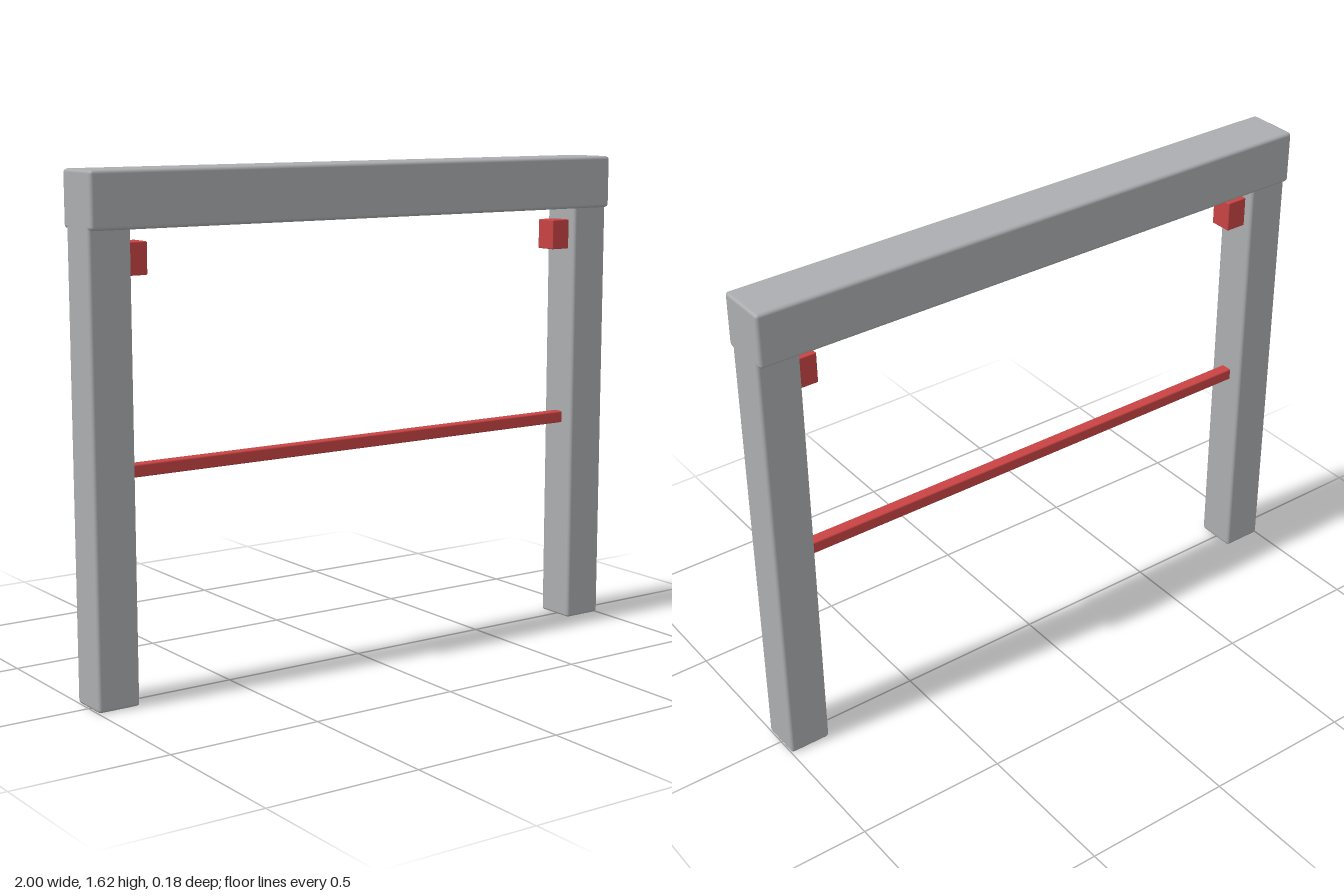
import * as THREE from 'three';
import { RoundedBoxGeometry } from 'three/addons/geometries/RoundedBoxGeometry.js';

export function createModel() {
  const group = new THREE.Group();
  const grey = new THREE.MeshStandardMaterial({ color: 0xabadb0 });
  grey.name = 'grey';
  const red = new THREE.MeshStandardMaterial({ color: 0xc94343 });
  red.name = 'red';

  // Box with narrow bevelled edges
  function block(name, material, size, position, bevel) {
    const mesh = new THREE.Mesh(new RoundedBoxGeometry(...size, 1, bevel), material);
    mesh.name = name;
    mesh.position.set(...position);
    group.add(mesh);
  }

  // Top beam
  block('beam', grey, [2, 0.175, 0.176], [0, 1.5375, 0], 0.011);

  // Posts and the small blocks on their inner faces
  for (const [side, s] of [['left', 1], ['right', -1]]) {
    block(side + 'Post', grey, [0.14, 1.47, 0.14], [s * 0.93, 0.735, 0], 0.01);
    block(side + 'Bracket', red, [0.09, 0.1, 0.076], [s * 0.835, 1.36, 0], 0.003);
  }

  // Crossbar between the posts
  block('crossbar', red, [1.74, 0.04, 0.04], [0, 0.718, 0], 0.005);

  return group;
}
